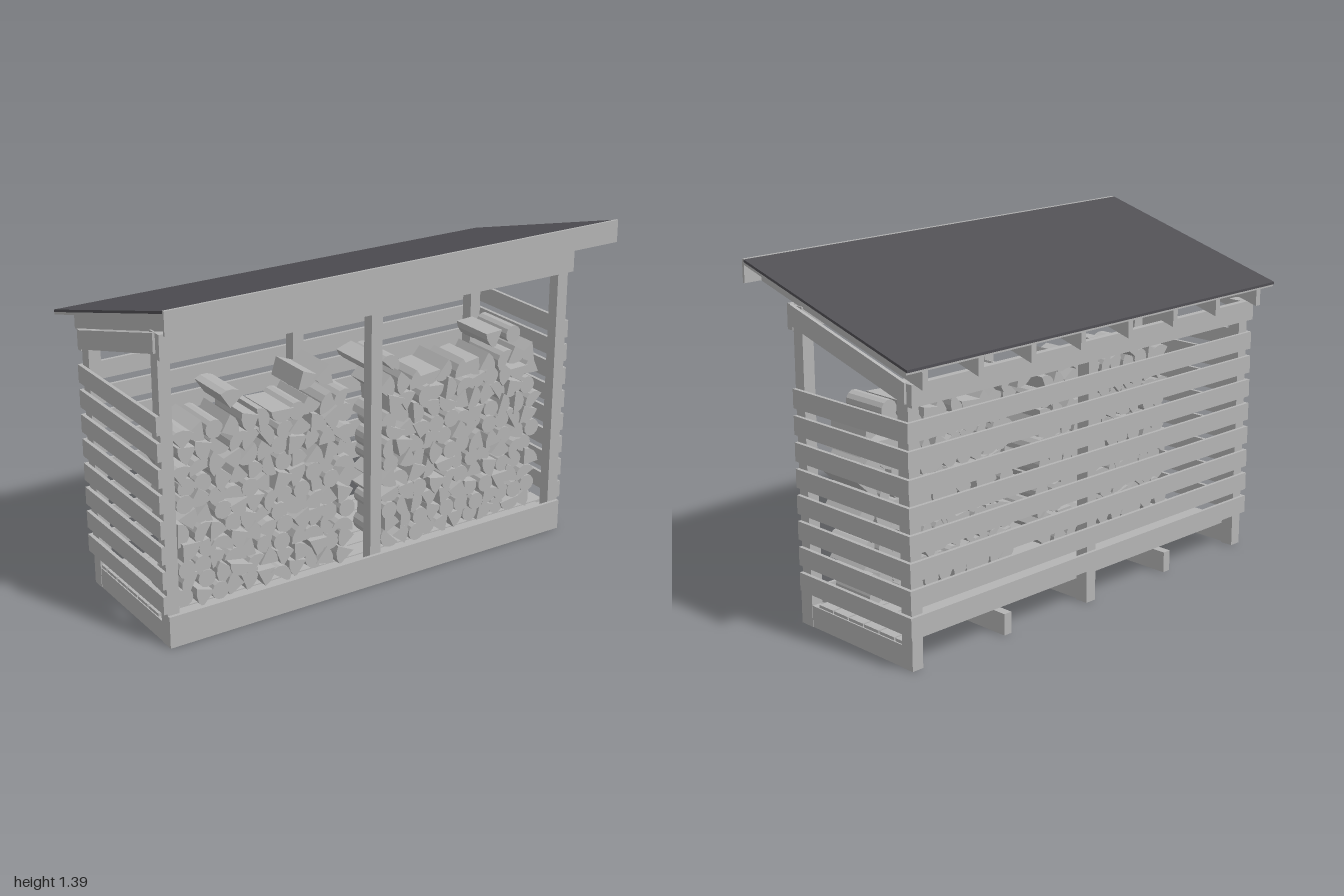
import * as THREE from 'three';

const SLOPE = 0.28; // roof rise per unit of z

export function createModel() {
  const shed = new THREE.Group();
  shed.name = 'firewoodShed';
  const wood = new THREE.MeshStandardMaterial({ color: 0xb4b4b4 });
  wood.name = 'wood';
  const roofing = new THREE.MeshStandardMaterial({ color: 0x504f54 });
  roofing.name = 'roofing';

  // Board between two corners; a slope shears it, keeping its ends plumb
  function board(name, [x0, x1], [y0, y1], [z0, z1], material = wood, slope = 0) {
    let geo = new THREE.BoxGeometry(x1 - x0, y1 - y0, z1 - z0);
    geo.translate((x0 + x1) / 2, (y0 + y1) / 2, (z0 + z1) / 2);
    if (slope) {
      const p = geo.attributes.position;
      for (let i = 0; i < p.count; i++) p.setY(i, p.getY(i) + slope * p.getZ(i));
      geo.computeVertexNormals();
    }
    const mesh = new THREE.Mesh(geo, material);
    mesh.name = name;
    shed.add(mesh);
  }

  // Posts
  for (const x of [-0.905, 0, 0.905]) {
    const w = [x - 0.025, x + 0.025];
    board('frontPost', w, [0, 1.24], [0.2, 0.25]);
    board('backPost', w, [0, 1.068], [-0.37, -0.315]);
  }

  // Base: joists, front skirt and floor boards
  for (const x of [-0.91, -0.455, 0, 0.455, 0.91]) {
    const between = Math.abs(x) === 0.455;
    board('joist', [x - 0.018, x + 0.018], [0, 0.086], between ? [-0.37, 0.25] : [-0.315, 0.2]);
  }
  board('frontSkirt', [-0.93, 0.93], [0, 0.13], [0.25, 0.264]);
  for (let i = 0; i < 7; i++) {
    const z = 0.25 - i * 0.087;
    const half = i === 0 ? 0.88 : 0.925;
    board('floorBoard', [-half, half], [0.088, 0.1], [Math.max(z - 0.08, -0.315), z]);
  }

  // Slatted walls
  for (let i = 0; i < 8; i++) {
    const y = [0.139 + i * 0.1025, 0.212 + i * 0.1025];
    board('backSlat', [-0.93, 0.93], y, [-0.384, -0.37]);
    board('rightSlat', [-0.945, -0.93], y, [-0.384, 0.25]);
    board('leftSlat', [0.93, 0.945], y, [-0.384, 0.25]);
  }

  // Headers and sloping side rails
  board('frontHeader', [-0.935, 0.935], [1.147, 1.244], [0.25, 0.278]);
  board('backHeader', [-0.935, 0.935], [0.985, 1.067], [-0.397, -0.37]);
  board('rightRail', [-0.945, -0.93], [1.098, 1.175], [-0.37, 0.25], wood, SLOPE);
  board('leftRail', [0.93, 0.945], [1.098, 1.175], [-0.37, 0.25], wood, SLOPE);

  // Roof: rafters, deck, dark covering and front fascia
  for (let i = 0; i < 8; i++) {
    const x = -0.91 + i * 0.26;
    board('rafter', [x - 0.013, x + 0.013], [1.177, 1.247], [-0.44, 0.44], wood, SLOPE);
  }
  board('roofDeck', [-1, 1], [1.247, 1.257], [-0.445, 0.44], wood, SLOPE);
  board('roofCovering', [-1, 1], [1.257, 1.267], [-0.45, 0.44], roofing, SLOPE);
  board('fascia', [-1, 1], [1.302, 1.392], [0.44, 0.45]);

  // Log cross-sections: whole round, half round and split wedge
  function logGeometry(radius, angle, steps) {
    const pts = [];
    const full = angle >= Math.PI * 2;
    const shift = full ? 0 : (4 * radius * Math.sin(angle / 2)) / (3 * angle);
    if (!full && angle < 3) pts.push(new THREE.Vector2(-shift, 0));
    for (let i = 0; i <= steps - (full ? 1 : 0); i++) {
      const a = -angle / 2 + (angle * i) / steps;
      pts.push(new THREE.Vector2(radius * Math.cos(a) - shift, radius * Math.sin(a)));
    }
    return new THREE.ExtrudeGeometry(new THREE.Shape(pts), { depth: 0.2, bevelEnabled: false });
  }
  const logs = [
    logGeometry(0.037, Math.PI * 2, 12),
    logGeometry(0.049, Math.PI, 7),
    logGeometry(0.074, 1.5, 4),
    logGeometry(0.08, 1.1, 3),
  ];

  let seed = 7;
  const rand = () => (seed = (seed * 16807) % 2147483647) / 2147483647;

  const pile = new THREE.Group();
  pile.name = 'firewood';
  shed.add(pile);
  function addLog(x, y, z, kind) {
    const log = new THREE.Mesh(logs[kind], wood);
    log.name = 'log';
    log.position.set(x, y, z);
    log.rotation.z = rand() * Math.PI * 2;
    pile.add(log);
  }

  // Two stacks of logs either side of the middle post
  for (const left of [-0.855, 0.06]) {
    for (let row = 0; row < 11; row++) {
      for (let col = 0; col < 11; col++) {
        const x = left + 0.038 + col * 0.07 + (row % 2) * 0.02 + (rand() - 0.5) * 0.012;
        const y = 0.14 + row * 0.0655 + (rand() - 0.5) * 0.012;
        addLog(x, y, -0.01 + (rand() - 0.5) * 0.025, Math.floor(rand() * 4));
      }
    }
  }

  // Loose logs on top, set further back
  for (const [x, y, kind] of [[-0.56, 0.88, 2], [-0.23, 0.875, 2], [-0.16, 0.88, 3],
    [0.08, 0.87, 2], [0.15, 0.875, 1], [0.66, 0.87, 3], [0.75, 0.875, 0]]) {
    addLog(x, y, -0.06 - rand() * 0.025, kind);
  }
  return shed;
}
